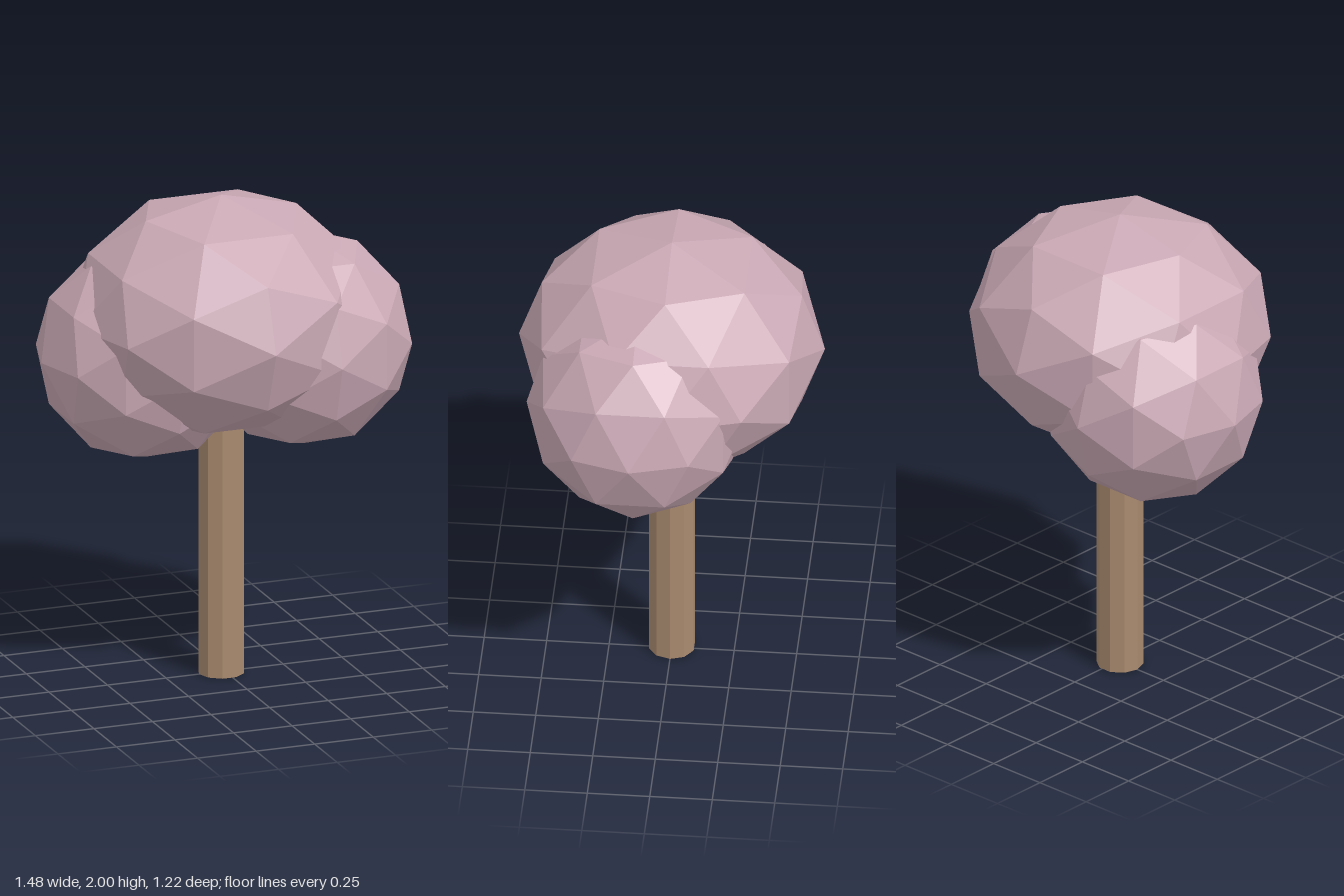
import * as THREE from 'three';

export function createModel() {
  const tree = new THREE.Group();
  tree.name = 'tree';

  const blossom = new THREE.MeshStandardMaterial({ color: 0xc9a8b4, flatShading: true });
  blossom.name = 'blossom pink';
  const bark = new THREE.MeshStandardMaterial({ color: 0xa98a6e, flatShading: true });
  bark.name = 'bark brown';

  // Ten-sided trunk with corners on the x axis, running up into the crown
  const trunkHeight = 1.2;
  const trunkGeometry = new THREE.CylinderGeometry(0.094, 0.094, trunkHeight, 10);
  trunkGeometry.rotateY(Math.PI / 2);
  const trunk = new THREE.Mesh(trunkGeometry, bark);
  trunk.name = 'trunk';
  trunk.position.set(-0.015, trunkHeight / 2, 0);
  tree.add(trunk);

  // Crown: one wide, flattened clump with a round clump on each side
  const clumps = [
    ['mainFoliage', [-0.015, 1.51, 0], [0.612, 0.49, 0.612]],
    ['leftFoliage', [0.29, 1.4, 0.11], [0.445, 0.445, 0.445]],
    ['rightFoliage', [-0.295, 1.345, -0.11], [0.445, 0.445, 0.445]],
  ];
  for (const [name, position, radii] of clumps) {
    const geometry = new THREE.IcosahedronGeometry(1, 1).scale(...radii);
    const clump = new THREE.Mesh(geometry, blossom);
    clump.name = name;
    clump.position.set(...position);
    tree.add(clump);
  }

  return tree;
}
